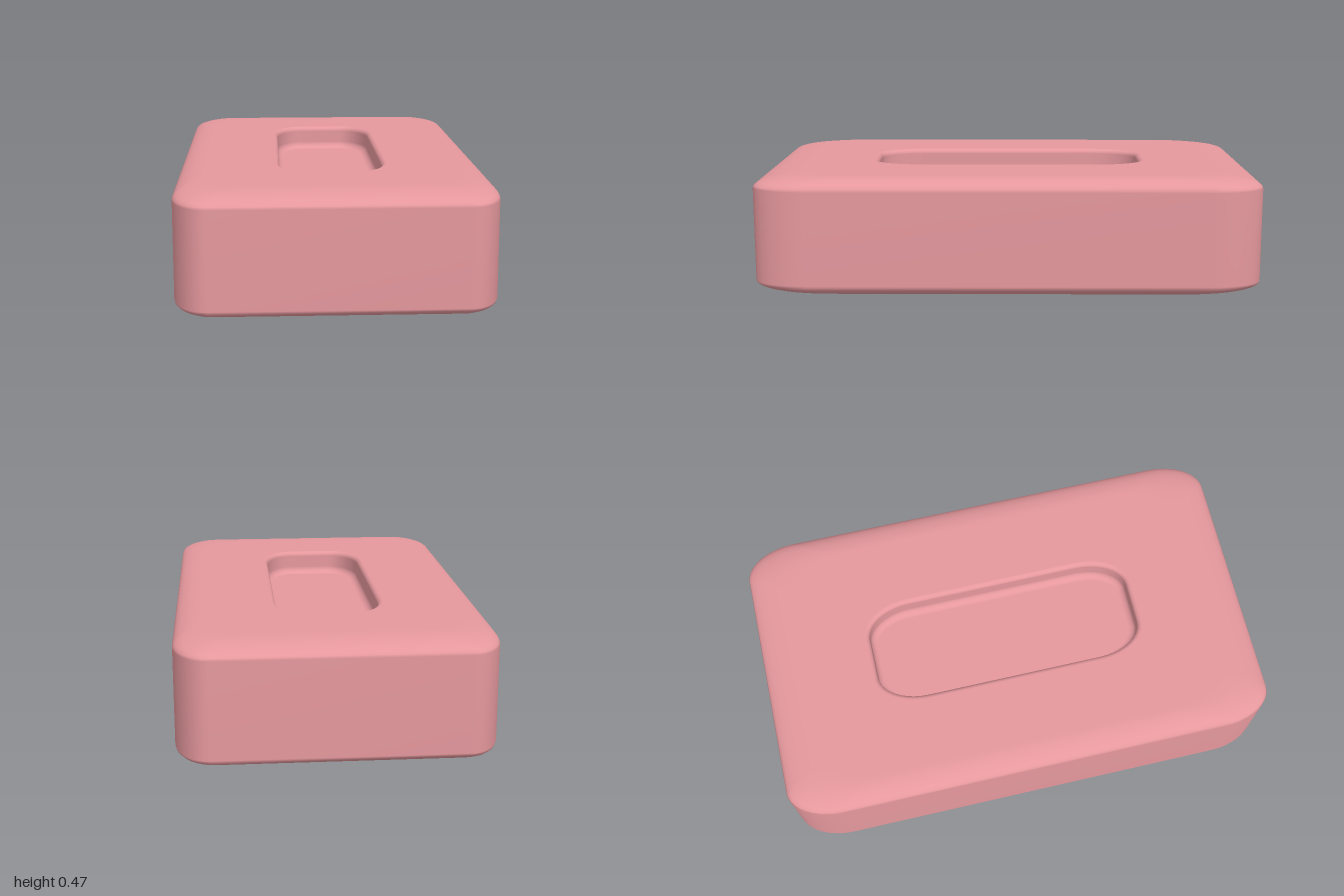
import * as THREE from 'three';

const CORNER_STEPS = 10;

// One horizontal rounded-rectangle ring with elliptical corners
function ring(hx, hz, rx, rz, y) {
  const points = [];
  for (let q = 0; q < 4; q++) {
    const sx = q === 0 || q === 3 ? 1 : -1;
    const sz = q < 2 ? 1 : -1;
    for (let i = 0; i <= CORNER_STEPS; i++) {
      const a = (q + i / CORNER_STEPS) * Math.PI / 2;
      points.push([sx * (hx - rx) + rx * Math.cos(a), y, sz * (hz - rz) + rz * Math.sin(a)]);
    }
  }
  return points;
}

// Skin a stack of rings and close both ends with a centre point
function loft(rings) {
  const n = rings[0].length, last = (rings.length - 1) * n;
  const positions = rings.flat(2), index = [];
  positions.push(0, rings[0][0][1], 0, 0, rings.at(-1)[0][1], 0);
  const first = rings.length * n;
  for (let j = 0; j < n; j++) {
    const k = (j + 1) % n;
    for (let i = 0; i < last; i += n) {
      index.push(i + j, i + n + j, i + k, i + k, i + n + j, i + n + k);
    }
    index.push(first, j, k, first + 1, last + k, last + j);
  }
  const geometry = new THREE.BufferGeometry();
  geometry.setAttribute('position', new THREE.Float32BufferAttribute(positions, 3));
  geometry.setIndex(index);
  geometry.computeVertexNormals();
  return geometry;
}

export function createModel() {
  const HX = 0.6, HZ = 1, H = 0.47;       // block half sizes and height
  const EX = 0.11, EZ = 0.19, EY = 0.05;  // softening of the outer edges
  const PX = 0.205, PZ = 0.55, DEPTH = 0.1; // recess half sizes and depth
  const STEPS = 8;
  const rings = [];
  const outer = (c, y) => rings.push(ring(HX - EX * (1 - c), HZ - EZ * (1 - c), 0.13, 0.21, y));
  const inner = (grow, y) => rings.push(ring(PX + grow, PZ + grow, 0.12 + grow, 0.19 + grow, y));
  const arc = (fn) => {
    for (let i = 0; i <= STEPS; i++) {
      const a = i / STEPS * Math.PI / 2;
      fn(Math.sin(a), Math.cos(a));
    }
  };

  // Outside: lower edge, then upper edge
  arc((s, c) => outer(s, EY * (1 - c)));
  arc((s, c) => outer(c, H - EY * (1 - s)));

  // Recess: rounded rim, then wall running into the floor
  const RIM = 0.02, FILLET = 0.03;
  arc((s, c) => inner(RIM * (1 - s), H - RIM * (1 - c)));
  arc((s, c) => inner(-FILLET * (1 - c), H - DEPTH + FILLET * (1 - s)));

  const block = new THREE.Mesh(loft(rings), new THREE.MeshStandardMaterial({ color: 0xe5989d }));
  block.name = 'recessedBlock';
  const group = new THREE.Group();
  group.name = 'brick';
  group.add(block);
  return group;
}
